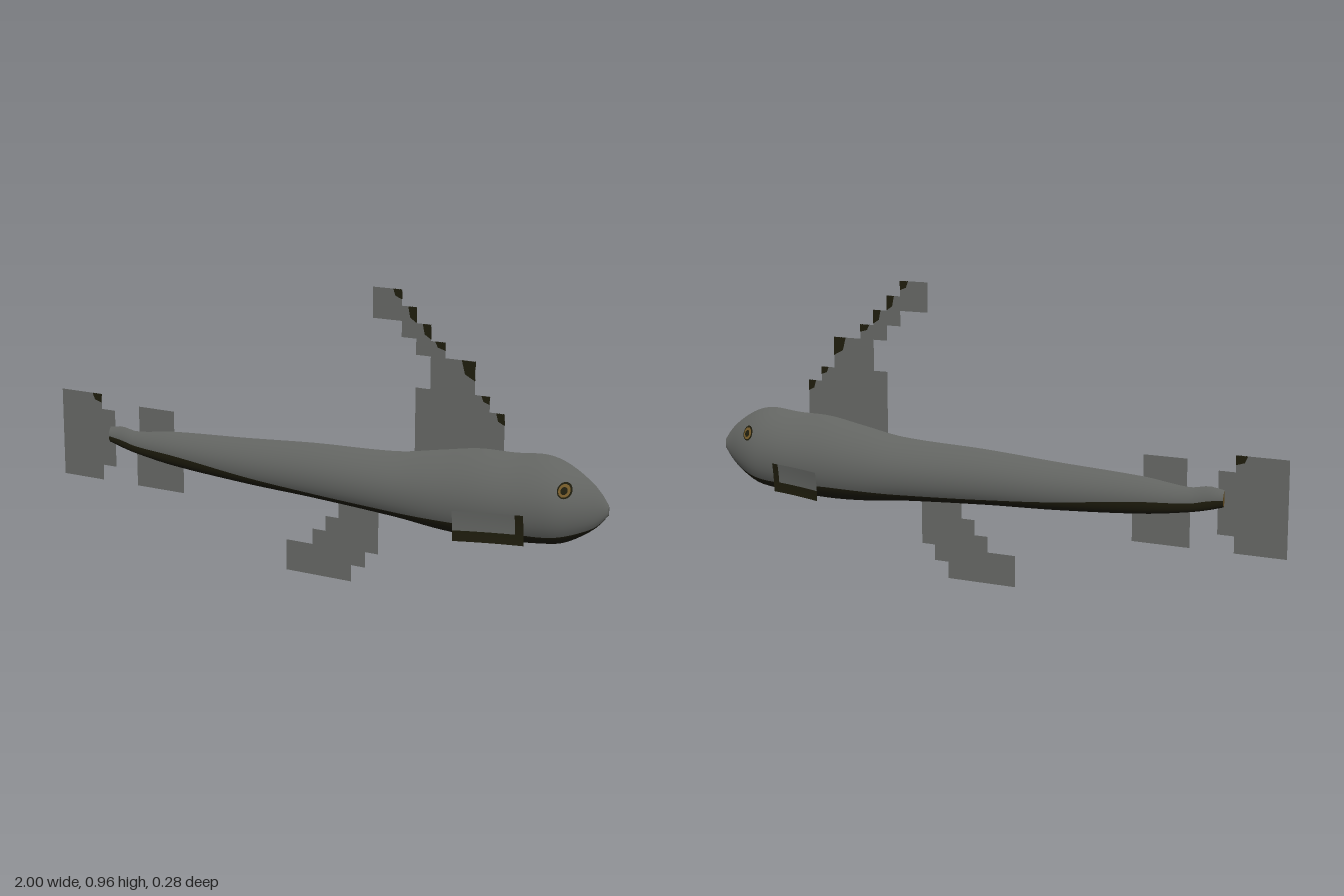
import * as THREE from 'three';

const skin = new THREE.MeshStandardMaterial({ name: 'grey skin', color: 0x636562 });
const finGrey = new THREE.MeshStandardMaterial({ name: 'fin grey', color: 0x646663, side: THREE.DoubleSide });
const dark = new THREE.MeshStandardMaterial({ name: 'dark olive', color: 0x1e1c0d, side: THREE.DoubleSide });
const ochre = new THREE.MeshStandardMaterial({ name: 'ochre', color: 0x725828, side: THREE.DoubleSide });

// Body stations: x, top, bottom, half width, belly colour height (0..1)
const STATIONS = [
  [-0.80, 0.395, 0.342, 0.012, 0.42],
  [-0.75, 0.402, 0.328, 0.013, 0.40],
  [-0.69, 0.393, 0.315, 0.015, 0.38],
  [-0.54, 0.411, 0.294, 0.027, 0.36],
  [-0.25, 0.428, 0.274, 0.037, 0.20],
  [0.00, 0.445, 0.264, 0.045, 0.12],
  [0.30, 0.458, 0.246, 0.055, 0.12],
  [0.45, 0.483, 0.231, 0.063, 0.16],
  [0.58, 0.505, 0.226, 0.069, 0.17],
  [0.70, 0.508, 0.231, 0.070, 0.14],
  [0.80, 0.516, 0.240, 0.070, 0.11],
  [0.86, 0.503, 0.251, 0.064, 0.11],
  [0.92, 0.470, 0.282, 0.043, 0.08],
  [0.97, 0.429, 0.320, 0.017, 0.02],
  [1.00, 0.388, 0.358, 0.003, 0.01],
];

// Smooth interpolation through the stations
function station(x) {
  const S = STATIONS, n = S.length;
  let i = 0;
  while (i < n - 2 && x > S[i + 1][0]) i++;
  const slope = (k, c) => {
    const a = S[Math.max(k - 1, 0)], b = S[Math.min(k + 1, n - 1)];
    return (b[c] - a[c]) / (b[0] - a[0]);
  };
  const d = S[i + 1][0] - S[i][0], t = (x - S[i][0]) / d, t2 = t * t, t3 = t2 * t;
  const at = (c) => (2 * t3 - 3 * t2 + 1) * S[i][c] + (t3 - 2 * t2 + t) * d * slope(i, c)
    + (3 * t2 - 2 * t3) * S[i + 1][c] + (t3 - t2) * d * slope(i + 1, c);
  return { top: at(1), bottom: at(2), half: at(3), belly: at(4) };
}

// Egg section: round keel, pointed ridge; t runs from bottom to top
function eggWidth(t) {
  if (t < 0.42) return Math.sqrt(Math.max(0, 1 - ((0.42 - t) / 0.42) ** 2));
  return 1 - ((t - 0.42) / 0.58) ** 2;
}

function surfaceZ(x, y) {
  const s = station(x);
  return s.half * eggWidth((y - s.bottom) / (s.top - s.bottom));
}

// Body skin: back and belly are groups of one smooth surface
function bodyGeometry() {
  const UP = 14, LOW = 8, ROWS = 90, pos = [], back = [], belly = [];
  const count = 2 * (UP + LOW) + 1;
  for (let i = 0; i <= ROWS; i++) {
    const x = -0.8 + 1.8 * i / ROWS, s = station(x), side = [];
    for (let j = 0; j < UP; j++) side.push(1 - (1 - s.belly) * j / UP);
    for (let j = 0; j <= LOW; j++) side.push(s.belly * (1 - j / LOW) ** 2);
    for (let j = 0; j < count; j++) {
      const left = j <= UP + LOW, t = side[left ? j : count - 1 - j];
      pos.push(x, s.bottom + (s.top - s.bottom) * t, s.half * eggWidth(t) * (left ? 1 : -1));
    }
  }
  for (let i = 0; i < ROWS; i++) {
    for (let j = 0; j < count - 1; j++) {
      const a = i * count + j, b = a + count;
      (j < UP || j >= UP + 2 * LOW ? back : belly).push(a, a + 1, b, a + 1, b + 1, b);
    }
  }
  const g = new THREE.BufferGeometry();
  g.setAttribute('position', new THREE.Float32BufferAttribute(pos, 3));
  g.setIndex([...back, ...belly]);
  g.addGroup(0, back.length, 0);
  g.addGroup(back.length, belly.length, 1);
  g.computeVertexNormals();
  return g;
}

// Flat section that closes an end of the body
function endCap(x) {
  const s = station(x), pts = [];
  for (let k = 0; k <= 16; k++) {
    const t = k / 16;
    pts.push(new THREE.Vector2(s.half * eggWidth(t), s.bottom + (s.top - s.bottom) * t));
  }
  for (let k = 15; k > 0; k--) pts.push(new THREE.Vector2(-pts[k].x, pts[k].y));
  return new THREE.ShapeGeometry(new THREE.Shape(pts)).rotateY(Math.PI / 2).translate(x, 0, 0);
}

const polygon = (pts) =>
  new THREE.ShapeGeometry(new THREE.Shape(pts.map(([x, y]) => new THREE.Vector2(x, y))));

export function createModel() {
  const model = new THREE.Group();
  model.name = 'fish';
  const add = (name, geometry, material, parent = model) => {
    const m = new THREE.Mesh(geometry, material);
    m.name = name;
    parent.add(m);
    return m;
  };

  add('body', bodyGeometry(), [skin, dark]);
  add('tailStump', endCap(-0.8), ochre);
  add('snoutTip', endCap(1), skin);

  // Stepped upright fins
  add('dorsalFin', polygon([
    [0.36, 0.42], [0.66, 0.42], [0.66, 0.62], [0.61, 0.62], [0.61, 0.668], [0.56, 0.668],
    [0.56, 0.77], [0.46, 0.77], [0.46, 0.818], [0.41, 0.818], [0.41, 0.868], [0.36, 0.868],
    [0.36, 0.917], [0.31, 0.917], [0.31, 0.967], [0.21, 0.967], [0.21, 0.87], [0.31, 0.87],
    [0.31, 0.82], [0.36, 0.82], [0.36, 0.77], [0.41, 0.77], [0.41, 0.668], [0.36, 0.668],
  ]), finGrey);
  add('ventralFin', polygon([
    [0.235, 0.30], [0.235, 0.11], [0.188, 0.11], [0.188, 0.058], [0.138, 0.058], [0.138, 0.003],
    [-0.103, 0.003], [-0.103, 0.106], [-0.005, 0.106], [-0.005, 0.158], [0.043, 0.158],
    [0.043, 0.208], [0.09, 0.208], [0.09, 0.30],
  ]), finGrey);
  add('rearFin', polygon([
    [-0.692, 0.203], [-0.503, 0.203], [-0.503, 0.38], [-0.538, 0.38], [-0.538, 0.48],
    [-0.68, 0.48], [-0.68, 0.36], [-0.692, 0.36],
  ]), finGrey);
  add('tailFin', polygon([
    [-1, 0.203], [-0.834, 0.203], [-0.834, 0.256], [-0.78, 0.256], [-0.78, 0.453],
    [-0.834, 0.453], [-0.834, 0.505], [-1, 0.505],
  ]), finGrey);

  // Dark leading corners on the fins: x, y, width, height
  const corners = [
    [0.31, 0.967, 0.03, 0.03], [0.36, 0.917, 0.028, 0.048], [0.41, 0.868, 0.028, 0.045],
    [0.46, 0.818, 0.035, 0.025], [0.56, 0.77, 0.045, 0.06], [0.61, 0.668, 0.028, 0.025],
    [0.66, 0.62, 0.028, 0.035], [-0.834, 0.505, 0.037, 0.03],
  ];
  for (const [x, y, w, h] of corners) {
    for (const side of [1, -1]) {
      const tip = polygon([[x, y], [x - w, y], [x - w * 0.75, y - h * 0.7], [x, y - h]]);
      add('finCorner', tip.translate(0, 0, 0.0015 * side), dark);
    }
  }

  // Curved pectoral fins and eyes, mirrored across the body
  const pectoral = (u0, u1, v0, v1) => {
    const g = new THREE.PlaneGeometry(1, 1, 10, 4), p = g.attributes.position;
    for (let i = 0; i < p.count; i++) {
      const u = u0 + (u1 - u0) * (p.getX(i) + 0.5), v = v0 + (v1 - v0) * (p.getY(i) + 0.5);
      const z = 0.069 + 0.01 * v * v + 0.06 * (0.7 * u + 0.3 * u * u);
      p.setXYZ(i, 0.762 - 0.206 * u, 0.243 + 0.097 * v, z);
    }
    g.computeVertexNormals();
    return g;
  };
  const eyeDisc = (radius, lift) => {
    const g = new THREE.CircleGeometry(radius, 20), p = g.attributes.position;
    for (let i = 0; i < p.count; i++) {
      const x = 0.878 + p.getX(i) * 0.9, y = 0.427 + p.getY(i);
      p.setXYZ(i, x, y, surfaceZ(x, y) + lift);
    }
    g.computeVertexNormals();
    return g;
  };
  for (const side of [1, -1]) {
    const half = new THREE.Group();
    half.name = side > 0 ? 'nearSide' : 'farSide';
    half.scale.z = side;
    model.add(half);
    add('pectoralFin', pectoral(0.12, 1, 0.35, 1), finGrey, half);
    add('pectoralFinEdge', pectoral(0, 0.12, 0.35, 1), dark, half);
    add('pectoralFinBase', pectoral(0, 1, 0, 0.35), dark, half);
    add('eye', eyeDisc(0.024, 0.003), dark, half);
    add('iris', eyeDisc(0.019, 0.005), ochre, half);
    add('pupil', eyeDisc(0.011, 0.007), dark, half);
  }
  return model;
}
